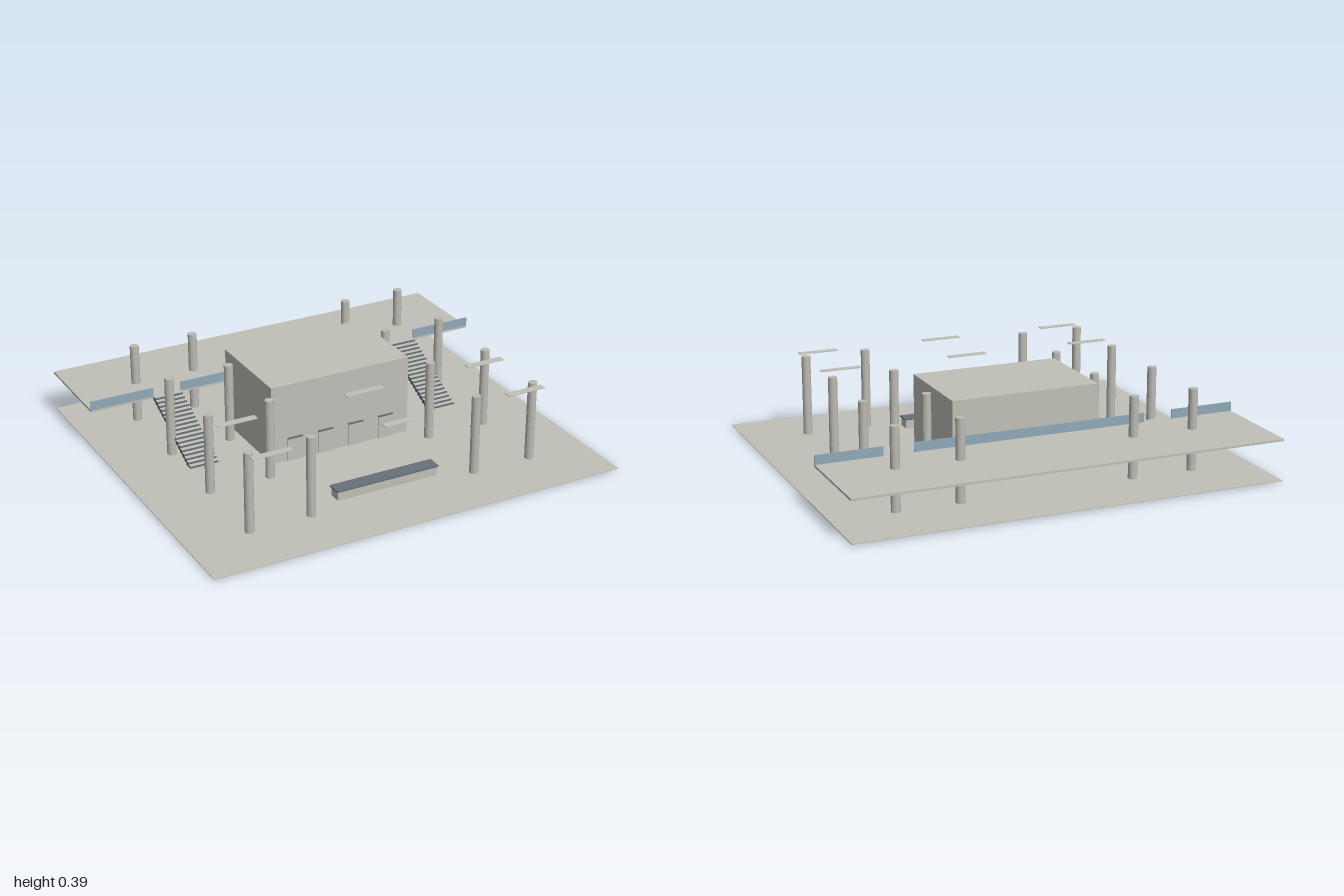
import * as THREE from 'three';

const mat = (name, color, extra = {}) => {
  const m = new THREE.MeshStandardMaterial({ color, ...extra });
  m.name = name;
  return m;
};

export function createModel() {
  const model = new THREE.Group();
  model.name = 'station';
  const concrete = mat('concrete', 0xc0bfb7);
  const column = mat('columnConcrete', 0xbcbab2, { flatShading: true });
  const dark = mat('darkMetal', 0x68707a);
  const glass = mat('railingGlass', 0x8faab8);

  // Box given by its limits on each axis
  const box = (name, material, [x0, x1], [y0, y1], [z0, z1], parent = model) => {
    const mesh = new THREE.Mesh(new THREE.BoxGeometry(x1 - x0, y1 - y0, z1 - z0), material);
    mesh.position.set((x0 + x1) / 2, (y0 + y1) / 2, (z0 + z1) / 2);
    mesh.name = name;
    parent.add(mesh);
    return mesh;
  };

  const floorY = 0.01, roofY = 0.389, deckY = 0.202, deckZ = -0.413;

  // Ground slab, raised deck and main hall
  box('floor', concrete, [-1, 1], [0.007, floorY], [-0.882, 0.882]);
  box('upperDeck', concrete, [-1, 1], [0.192, deckY], [-0.882, deckZ]);
  box('hall', concrete, [-0.351, 0.351], [floorY, roofY], [-0.355, 0.115]);

  // Doors with dark lintels on the hall front
  for (const x of [-0.235, -0.079, 0.077, 0.234]) {
    box('door', concrete, [x - 0.038, x + 0.038], [floorY, 0.118], [0.115, 0.12]);
    box('doorLintel', dark, [x - 0.038, x + 0.038], [0.118, 0.125], [0.115, 0.121]);
  }

  // Counter with dark top
  box('counterBody', concrete, [-0.25, 0.25], [floorY, 0.052], [0.49, 0.552]);
  box('counterTop', dark, [-0.256, 0.256], [0.052, 0.059], [0.486, 0.556]);

  // Column grid
  const columnGeometry = new THREE.CylinderGeometry(0.021, 0.021, roofY - floorY, 16);
  for (const x of [-0.704, -0.41, 0.41, 0.704]) {
    for (const z of [-0.59, -0.197, 0.214, 0.605]) {
      const mesh = new THREE.Mesh(columnGeometry, column);
      mesh.name = 'column';
      mesh.position.set(x, (roofY + floorY) / 2, z);
      model.add(mesh);
    }
  }

  // Thin hanging ceiling panels
  for (const x of [-0.625, 0, 0.625]) {
    for (const z of [0.331, 0.664]) {
      box('ceilingPanel', concrete, [x - 0.094, x + 0.094], [0.387, 0.39], [z - 0.018, z + 0.018]);
    }
  }

  // Glass railing along the deck edge, open at the stairs
  for (const [x0, x1] of [[-1, -0.692], [-0.553, 0.553], [0.692, 1]]) {
    box('glassRailing', glass, [x0, x1], [deckY, 0.245], [deckZ - 0.005, deckZ]);
  }

  // Two stairs: dark steps with pale treads
  const steps = 18, startZ = -0.02;
  const run = (startZ - deckZ) / steps, rise = (deckY - floorY) / steps;
  for (const side of [-1, 1]) {
    const stair = new THREE.Group();
    stair.name = side > 0 ? 'leftStair' : 'rightStair';
    const xs = side > 0 ? [0.553, 0.692] : [-0.692, -0.553];
    for (let i = 0; i < steps; i++) {
      const top = floorY + rise * (i + 1);
      const z = startZ - run * i;
      box('step', dark, xs, [top - 0.0205, top - 0.001], [z - run, z], stair);
      box('tread', concrete, xs, [top - 0.001, top], [z - run, z], stair);
    }
    model.add(stair);
  }

  return model;
}
